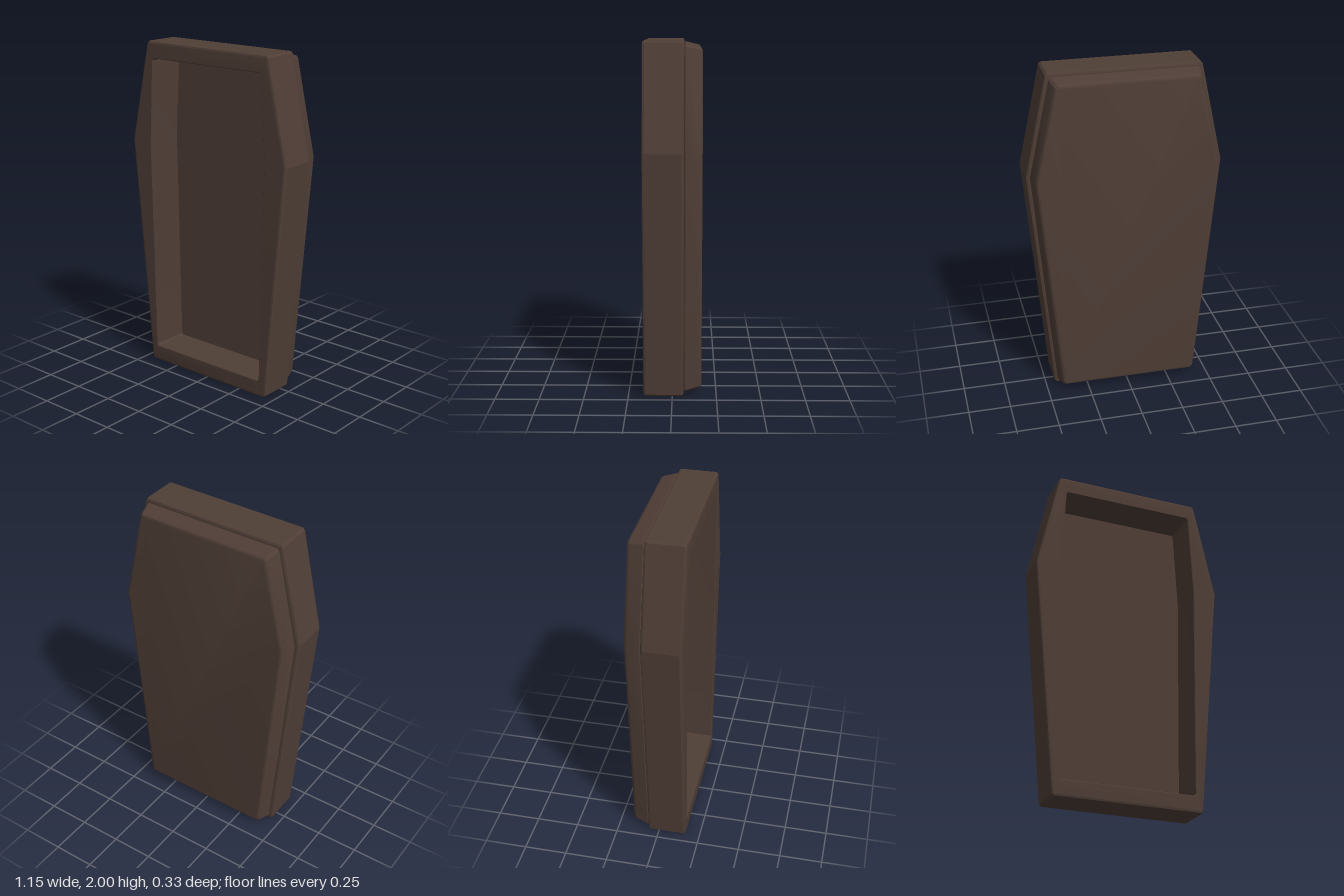
import * as THREE from 'three';
import { toCreasedNormals } from 'three/addons/utils/BufferGeometryUtils.js';

const SHOULDER = 1.4;

// Six-sided outline, counter-clockwise, with the four end corners trimmed by c
function outline(endW, midW, bottom, top, c, z) {
  const right = [
    [endW - c, bottom], [endW, bottom + c],
    [midW, SHOULDER],
    [endW, top - c], [endW - c, top],
  ];
  const left = right.map(([x, y]) => [-x, y]).reverse();
  return [...right, ...left].map(([x, y]) => new THREE.Vector3(x, y, z));
}

// Skin a row of outlines running from back to front, optionally closing both ends
function loft(sections, capped) {
  const pos = [];
  const tri = (...points) => points.forEach((p) => pos.push(p.x, p.y, p.z));
  const n = sections[0].length;
  for (let s = 0; s < sections.length - 1; s++) {
    const a = sections[s], b = sections[s + 1];
    for (let i = 0; i < n; i++) {
      const k = (i + 1) % n;
      tri(a[i], a[k], b[k]);
      tri(a[i], b[k], b[i]);
    }
  }
  if (capped) {
    const back = sections[0], front = sections[sections.length - 1];
    for (let i = 1; i < n - 1; i++) {
      tri(back[0], back[i + 1], back[i]);
      tri(front[0], front[i], front[i + 1]);
    }
  }
  const geometry = new THREE.BufferGeometry();
  geometry.setAttribute('position', new THREE.Float32BufferAttribute(pos, 3));
  return toCreasedNormals(geometry, 0.3);
}

export function createModel() {
  const group = new THREE.Group();
  group.name = 'coffin';
  const wood = new THREE.MeshStandardMaterial({ color: 0x4f3e36 });
  wood.name = 'dark brown wood';

  // Open box frame: outer wall with softened edges, rim, then inner wall
  const outer = (inset, z) =>
    outline(0.447 - inset, 0.574 - inset, inset, 2 - inset, 0.012, z);
  const inner = (inset, z) =>
    outline(0.405 - inset, 0.43 - inset, 0.095 + inset, 1.905 - inset, 0.01, z);
  const frame = [
    outer(0.014, -0.065), outer(0.004, -0.061), outer(0, -0.051),
    outer(0, 0.151), outer(0.004, 0.161), outer(0.014, 0.165),
    inner(0, 0.165), inner(0.004, 0.161), inner(0.004, -0.065),
  ];
  frame.push(frame[0]);
  const box = new THREE.Mesh(loft(frame, false), wood);
  box.name = 'boxFrame';

  // Tapered panel closing the back; its front face is the floor of the box
  const panel = (inset, z) =>
    outline(0.43 - inset, 0.551 - inset, 0.02 + inset, 1.98 - inset, 0.014, z);
  const lid = new THREE.Mesh(loft([
    panel(0.036, -0.166), panel(0.026, -0.162), panel(0.018, -0.15),
    panel(0, -0.073), panel(0.003, -0.067), panel(0.01, -0.062),
  ], true), wood);
  lid.name = 'backPanel';

  group.add(box, lid);
  return group;
}
